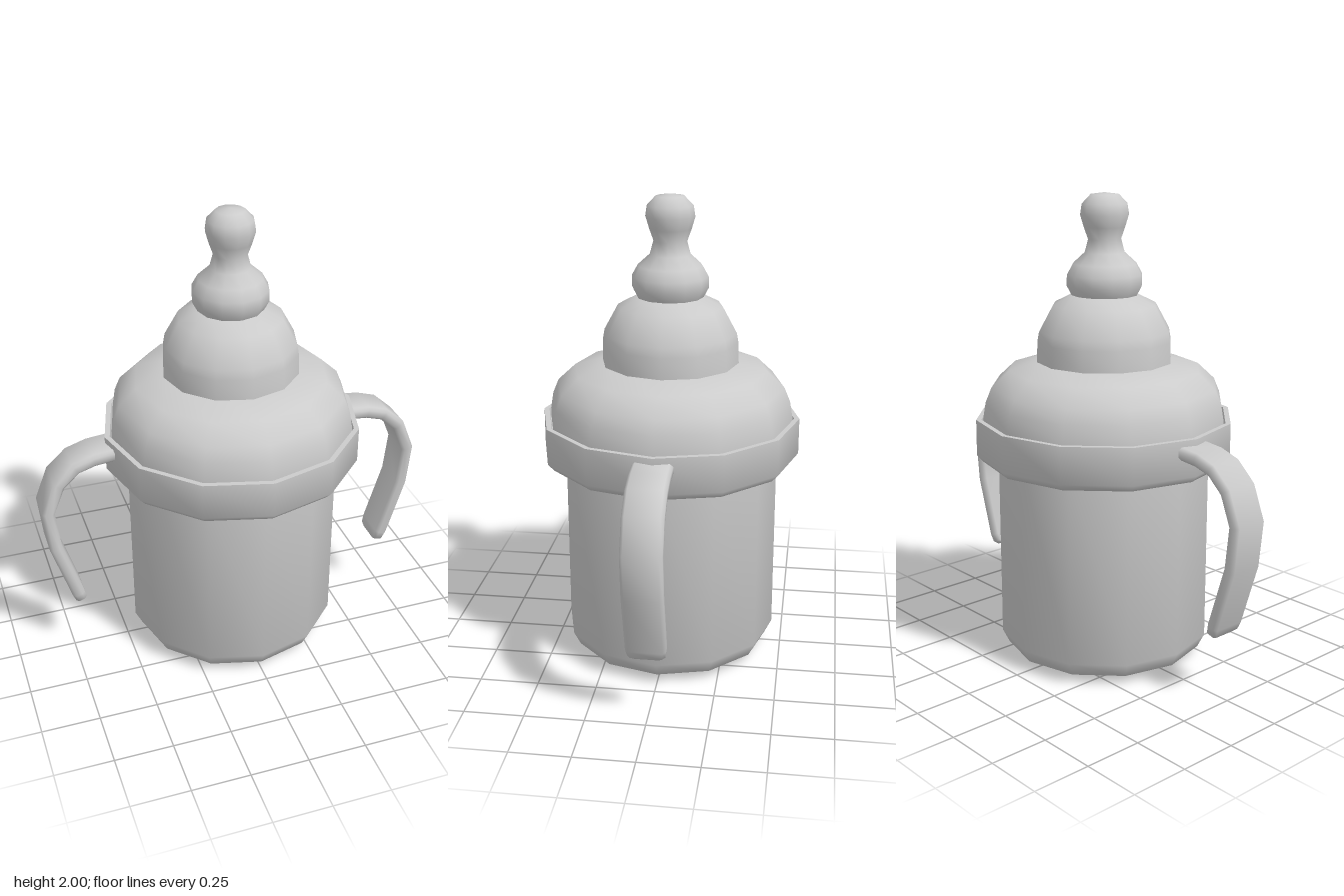
import * as THREE from 'three';
import { toCreasedNormals } from 'three/addons/utils/BufferGeometryUtils.js';

const SIDES = 12;
const material = new THREE.MeshStandardMaterial({ color: 0xcccccc, side: THREE.DoubleSide });

function makeMesh(name, geometry) {
  const mesh = new THREE.Mesh(toCreasedNormals(geometry, 1.0), material);
  mesh.name = name;
  return mesh;
}

// Turned part from [radius, height] pairs, bottom to top
function turned(name, profile) {
  const points = profile.map(([r, y]) => new THREE.Vector2(r, y));
  return makeMesh(name, new THREE.LatheGeometry(points, SIDES));
}

// Flat strap swept along a path in the xy plane: [x, y, thickness scale, width scale]
function strapGeometry(path, halfThick, halfWidth, bevel) {
  const t = halfThick, w = halfWidth, b = bevel;
  const section = [
    [t, -w + b], [t, w - b], [t - b, w], [-t + b, w],
    [-t, w - b], [-t, -w + b], [-t + b, -w], [t - b, -w],
  ];
  const n = section.length, last = path.length - 1;
  const positions = [], index = [];
  path.forEach(([x, y, st = 1, sw = 1], i) => {
    const p = path[Math.max(i - 1, 0)], q = path[Math.min(i + 1, last)];
    const dir = new THREE.Vector2(q[0] - p[0], q[1] - p[1]).normalize();
    for (const [u, v] of section) {
      positions.push(x - dir.y * u * st, y + dir.x * u * st, v * sw);
    }
  });
  for (let i = 0; i < last; i++) {
    for (let j = 0; j < n; j++) {
      const a = i * n + j, c = i * n + (j + 1) % n;
      index.push(a, c, a + n, c, c + n, a + n);
    }
  }
  // End caps
  for (let j = 1; j < n - 1; j++) {
    index.push(0, j + 1, j);
    index.push(last * n, last * n + j, last * n + j + 1);
  }
  const geometry = new THREE.BufferGeometry();
  geometry.setAttribute('position', new THREE.Float32BufferAttribute(positions, 3));
  geometry.setIndex(index);
  return geometry;
}

export function createModel() {
  const model = new THREE.Group();
  model.name = 'babyBottle';

  // Cup with rounded foot
  model.add(turned('cup', [[0, 0], [0.35, 0.005], [0.43, 0.04], [0.46, 0.1], [0.46, 0.95]]));

  // Screw collar with a thin raised rim
  model.add(turned('collar', [
    [0.45, 0.88], [0.525, 0.88], [0.552, 0.91], [0.552, 1.065], [0.53, 1.065], [0.525, 1.03], [0.5, 1.03],
  ]));

  // Wide shoulder above the collar
  model.add(turned('shoulder', [
    [0.522, 1.02], [0.522, 1.07], [0.51, 1.14], [0.485, 1.2], [0.41, 1.27], [0.27, 1.307], [0, 1.307],
  ]));

  // Small dome under the teat
  model.add(turned('dome', [
    [0.29, 1.3], [0.287, 1.39], [0.28, 1.43], [0.22, 1.54], [0.13, 1.585], [0, 1.585],
  ]));

  // Teat with a waist and a rounded tip
  model.add(turned('teat', [
    [0.14, 1.58], [0.161, 1.62], [0.16, 1.665], [0.135, 1.71], [0.085, 1.755], [0.07, 1.81],
    [0.088, 1.86], [0.103, 1.91], [0.096, 1.955], [0.06, 1.992], [0, 2],
  ]));

  // Two curved handles, the second turned to the opposite side
  const handle = strapGeometry([
    [0.5, 1.016], [0.615, 1.005], [0.695, 0.98], [0.772, 0.91], [0.824, 0.78], [0.805, 0.597],
    [0.724, 0.335], [0.713, 0.302, 0.9, 0.93], [0.708, 0.287, 0.55, 0.7],
  ], 0.027, 0.082, 0.013);
  const leftHandle = makeMesh('leftHandle', handle);
  const rightHandle = makeMesh('rightHandle', handle);
  rightHandle.rotation.y = Math.PI;
  model.add(leftHandle, rightHandle);

  return model;
}
